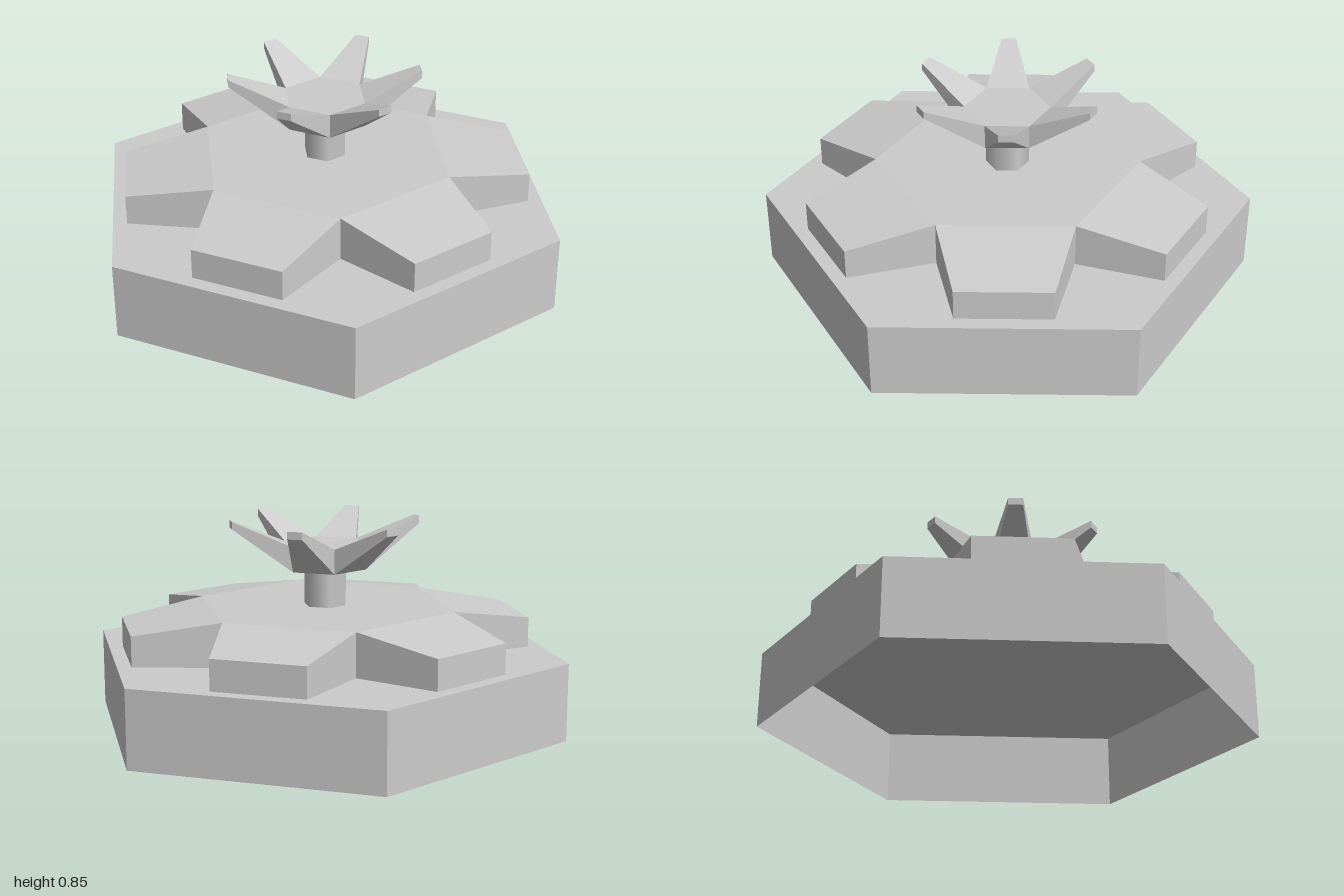
import * as THREE from 'three';

const solid = new THREE.MeshStandardMaterial({ color: 0xcccccc, flatShading: true });
const shell = new THREE.MeshStandardMaterial({ color: 0xcccccc, flatShading: true, side: THREE.DoubleSide });
const smooth = new THREE.MeshStandardMaterial({ color: 0xcccccc });

// Hexagonal core of radius r (low..high) with six arms tapering to a rectangular tip.
function sixArmStar({ r, low, high, reach, halfWidth, tipLow, tipHigh }) {
  const pos = [];
  const quad = (a, b, c, d) => pos.push(...a, ...b, ...c, ...a, ...c, ...d);
  for (let i = 0; i < 6; i++) {
    const ang = (i * Math.PI) / 3;
    // local (side, y, outward) turned to this arm's direction
    const at = (s, y, o) => [
      s * Math.cos(ang) + o * Math.sin(ang), y, o * Math.cos(ang) - s * Math.sin(ang)];
    const hs = r / 2, ho = r * Math.cos(Math.PI / 6);
    const rootLT = at(-hs, high, ho), rootRT = at(hs, high, ho);
    const rootLB = at(-hs, low, ho), rootRB = at(hs, low, ho);
    const tipLT = at(-halfWidth, tipHigh, reach), tipRT = at(halfWidth, tipHigh, reach);
    const tipLB = at(-halfWidth, tipLow, reach), tipRB = at(halfWidth, tipLow, reach);
    quad(rootLT, tipLT, tipRT, rootRT); // top
    quad(rootLB, rootRB, tipRB, tipLB); // underside
    quad(tipLB, tipRB, tipRT, tipLT); // end
    quad(rootRT, tipRT, tipRB, rootRB); // sides
    quad(rootLT, rootLB, tipLB, tipLT);
    pos.push(0, high, 0, ...rootLT, ...rootRT); // core top and bottom
    pos.push(0, low, 0, ...rootRB, ...rootLB);
  }
  const geo = new THREE.BufferGeometry();
  geo.setAttribute('position', new THREE.Float32BufferAttribute(pos, 3));
  geo.computeVertexNormals();
  return geo;
}

export function createModel() {
  const model = new THREE.Group();
  const add = (name, geo, mat, y = 0, parent = model) => {
    const mesh = new THREE.Mesh(geo, mat);
    mesh.name = name;
    mesh.position.y = y;
    parent.add(mesh);
    return mesh;
  };

  // Hexagonal base, hollow and open underneath
  const baseH = 0.315;
  const base = new THREE.Group();
  base.name = 'base';
  model.add(base);
  add('baseWall', new THREE.CylinderGeometry(1, 1, baseH, 6, 1, true, Math.PI / 2), shell, baseH / 2, base);
  add('baseTop', new THREE.CircleGeometry(1, 6).rotateX(-Math.PI / 2), shell, baseH, base);

  // Raised platform with six sloping arms
  add('starPlatform', sixArmStar({
    r: 0.537, low: baseH, high: 0.493, reach: 0.81, halfWidth: 0.187, tipLow: baseH, tipHigh: 0.438,
  }), solid);

  // Short six-sided post
  add('post', new THREE.CylinderGeometry(0.088, 0.088, 0.154, 6, 1, true, Math.PI / 2), smooth, 0.569);

  // Crown with six upswept prongs
  add('crown', sixArmStar({
    r: 0.173, low: 0.645, high: 0.745, reach: 0.385, halfWidth: 0.03, tipLow: 0.817, tipHigh: 0.847,
  }), solid);

  return model;
}
